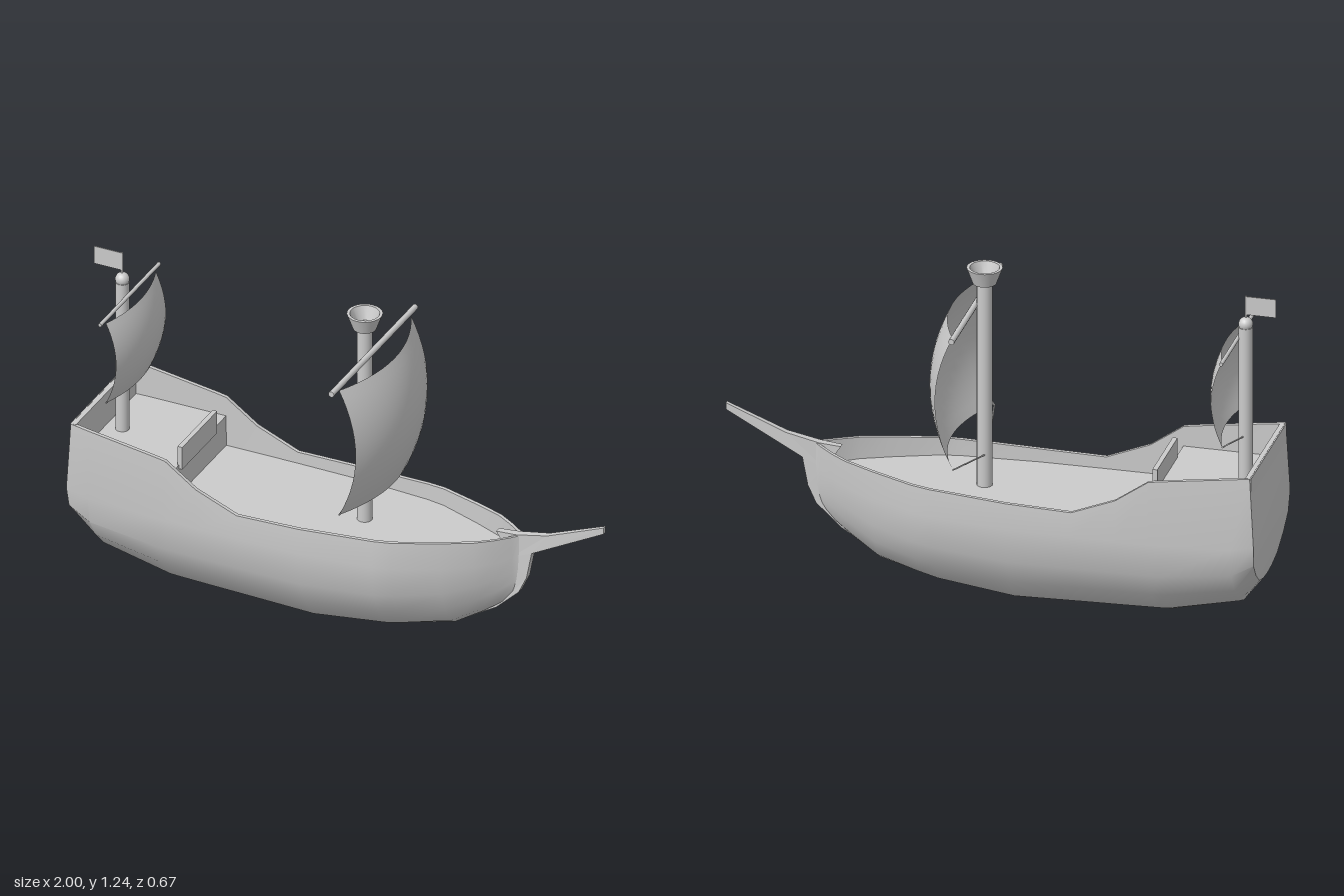
import * as THREE from 'three';
import { toCreasedNormals } from 'three/addons/utils/BufferGeometryUtils.js';

const material = new THREE.MeshStandardMaterial({ color: 0xcccccc });
const thin = new THREE.MeshStandardMaterial({ color: 0xcccccc, side: THREE.DoubleSide });
const V = (x, y, z) => new THREE.Vector3(x, y, z);
const lerp = THREE.MathUtils.lerp;

function add(parent, name, geometry, x = 0, y = 0, z = 0, mat = material) {
  const mesh = new THREE.Mesh(geometry, mat);
  mesh.name = name;
  mesh.position.set(x, y, z);
  parent.add(mesh);
  return mesh;
}

// Skin stretched over rows of points
function loft(rows, crease = 0.6) {
  const n = rows[0].length, index = [];
  for (let i = 0; i < rows.length - 1; i++) {
    for (let j = 0; j < n - 1; j++) {
      const a = i * n + j, b = a + n;
      index.push(a, b, b + 1, a, b + 1, a + 1);
    }
  }
  const geometry = new THREE.BufferGeometry().setFromPoints(rows.flat());
  geometry.setIndex(index);
  return toCreasedNormals(geometry, crease);
}

// Round bar between two points
function bar(parent, name, a, b, radius, sides = 8) {
  const mesh = add(parent, name, new THREE.CylinderGeometry(radius, radius, a.distanceTo(b), sides));
  mesh.position.copy(a).lerp(b, 0.5);
  mesh.quaternion.setFromUnitVectors(V(0, 1, 0), b.clone().sub(a).normalize());
  return mesh;
}

// Hull stations: x, keel height, rim height, half beam, sharpness, deck height
const UPPER = 0.52, MAIN = 0.4;
const stations = [
  [-0.97, 0.18, 0.65, 0.25, 0, UPPER],
  [-0.9, 0.085, 0.64, 0.252, 0, UPPER],
  [-0.64, 0.02, 0.602, 0.252, 0, UPPER],
  [-0.6, 0.018, 0.595, 0.252, 0, UPPER],
  [-0.599, 0.018, 0.594, 0.252, 0, MAIN],
  [-0.48, 0.014, 0.51, 0.252, 0, MAIN],
  [-0.32, 0.009, 0.445, 0.251, 0, MAIN],
  [-0.08, 0, 0.45, 0.247, 0, MAIN],
  [0.2, 0.035, 0.463, 0.228, 0, MAIN],
  [0.27, 0.05, 0.467, 0.216, 0.05, MAIN],
  [0.43, 0.085, 0.476, 0.158, 0.15, MAIN],
  [0.54, 0.155, 0.483, 0.112, 0.3, MAIN],
  [0.6, 0.2, 0.487, 0.072, 0.4, MAIN],
  [0.65, 0.25, 0.492, 0.032, 0.5, MAIN],
  [0.67, 0.28, 0.495, 0.014, 0.5, MAIN],
  [0.69, 0.32, 0.49, 0.008, 0.5, MAIN],
];
// Half cross-section from keel to rim: height fraction, width fraction
const section = [[0, 0], [0.02, 0.24], [0.09, 0.5], [0.28, 0.76], [0.5, 0.96], [0.8, 1.02], [1, 1]];

function halfSection([x, keel, rim, beam, sharp], side) {
  return section.map(([f, w], i) => {
    const y = i === section.length - 1 ? rim : keel + f * (0.44 - keel);
    const bulge = x < -0.96 ? 0.015 * Math.sin(Math.PI * THREE.MathUtils.clamp((y - 0.18) / 0.47, 0, 1)) : 0;
    return V(x - bulge, y, side * beam * lerp(w, f ** 0.6, sharp));
  });
}

function buildHull(ship) {
  const hull = new THREE.Group();
  hull.name = 'hull';
  ship.add(hull);
  add(hull, 'planking', loft(stations.map(s =>
    [...halfSection(s, -1).reverse(), ...halfSection(s, 1).slice(1)])), 0, 0, 0, thin);
  add(hull, 'transom', loft([halfSection(stations[0], -1), halfSection(stations[0], 1)]), 0, 0, 0, thin);

  // Rim and inner walls on both sides, then the stepped deck
  const inner = s => Math.max(s[3] - 0.014, 0.001);
  for (const side of [1, -1]) {
    add(hull, side > 0 ? 'leftBulwark' : 'rightBulwark', loft(stations.map(s => {
      const row = [V(s[0], s[2], side * s[3]), V(s[0], s[2], side * inner(s)), V(s[0], s[5], side * inner(s))];
      return side > 0 ? row : row.reverse();
    })), 0, 0, 0, thin);
  }
  add(hull, 'deck', loft(stations.map(s => [V(s[0], s[5], inner(s)), V(s[0], s[5], -inner(s))])), 0, 0, 0, thin);
  add(hull, 'sternWall', new THREE.BoxGeometry(0.022, 0.14, 0.49), -0.963, 0.579, 0);
  add(hull, 'quarterdeckRail', new THREE.BoxGeometry(0.018, 0.09, 0.28), -0.596, 0.55, 0);

  // Stem and bowsprit in one tapering plank
  const outline = [[0.43, 0.085], [0.58, 0.178], [0.67, 0.265], [0.7, 0.33], [0.72, 0.435],
    [1, 0.585], [1, 0.61], [0.78, 0.522], [0.66, 0.497], [0.58, 0.49], [0.64, 0.4], [0.6, 0.25]];
  const stem = new THREE.ExtrudeGeometry(new THREE.Shape(outline.map(p => new THREE.Vector2(...p))),
    { depth: 0.02, bevelEnabled: false });
  stem.translate(0, 0, -0.01);
  const p = stem.attributes.position;
  for (let i = 0; i < p.count; i++) {
    const near = 1 - Math.min(Math.abs(p.getX(i) - 0.68) / 0.2, 1);
    p.setZ(i, p.getZ(i) * (0.8 + 0.7 * near));
  }
  stem.computeVertexNormals();
  add(hull, 'stemAndBowsprit', stem);
}

// Square sail bellied in both directions, with its yard and lower ropes
function buildSail(parent, o) {
  const rows = [], N = 14;
  for (let i = 0; i <= N; i++) {
    const u = 1 - 2 * i / N, row = [];
    for (let j = 0; j <= N; j++) {
      const v = 2 * j / N - 1;
      row.push(V(o.x + o.bellyV * (1 - v * v) + o.bellyU * (1 - u * u),
        lerp(o.bottom, o.top, j / N), u * o.half));
    }
    rows.push(row);
  }
  add(parent, 'sail', loft(rows, 1), 0, 0, 0, thin);
  bar(parent, 'yard', V(o.yardX, o.yardY, -o.yardHalf), V(o.yardX, o.yardY, o.yardHalf), o.yardR, 12);
  bar(parent, 'yardTie', V(o.mastX, o.yardY + 0.01, 0), V(o.yardX, o.yardY, 0), 0.006);
  for (const side of [1, -1]) {
    bar(parent, 'sailRope', V(o.mastX, o.ropeY, 0), V(o.x, o.bottom, side * o.half), 0.003, 6);
  }
}

function buildMainMast(ship) {
  const g = new THREE.Group();
  g.name = 'mainMast';
  ship.add(g);
  add(g, 'mast', new THREE.CylinderGeometry(0.028, 0.028, 0.8, 20), 0.06, 0.79, 0);
  const nest = [[0, 1.18], [0.042, 1.18], [0.064, 1.24], [0.053, 1.24], [0.036, 1.19], [0, 1.19]];
  add(g, 'lookoutNest', toCreasedNormals(
    new THREE.LatheGeometry(nest.map(q => new THREE.Vector2(...q)), 24), 0.6), 0.06, 0, 0);
  buildSail(g, { x: 0.1, bellyV: 0.065, bellyU: 0.077, top: 1.087, bottom: 0.578, half: 0.288,
    yardX: 0.093, yardY: 1.095, yardHalf: 0.337, yardR: 0.011, mastX: 0.05, ropeY: 0.52 });
}

function buildAftMast(ship) {
  const g = new THREE.Group();
  g.name = 'aftMast';
  ship.add(g);
  add(g, 'mast', new THREE.CylinderGeometry(0.025, 0.025, 0.61, 20), -0.89, 0.815, 0);
  add(g, 'mastBall', new THREE.SphereGeometry(0.026, 16, 12), -0.89, 1.132, 0);
  bar(g, 'flagPole', V(-0.891, 1.14, 0), V(-0.891, 1.24, 0), 0.004);
  add(g, 'flag', new THREE.BoxGeometry(0.108, 0.07, 0.004), -0.946, 1.203, 0);
  buildSail(g, { x: -0.857, bellyV: 0.04, bellyU: 0.037, top: 1.065, bottom: 0.738, half: 0.2,
    yardX: -0.862, yardY: 1.075, yardHalf: 0.237, yardR: 0.007, mastX: -0.89, ropeY: 0.7 });
}

export function createModel() {
  const ship = new THREE.Group();
  ship.name = 'sailingShip';
  buildHull(ship);
  buildMainMast(ship);
  buildAftMast(ship);
  return ship;
}
